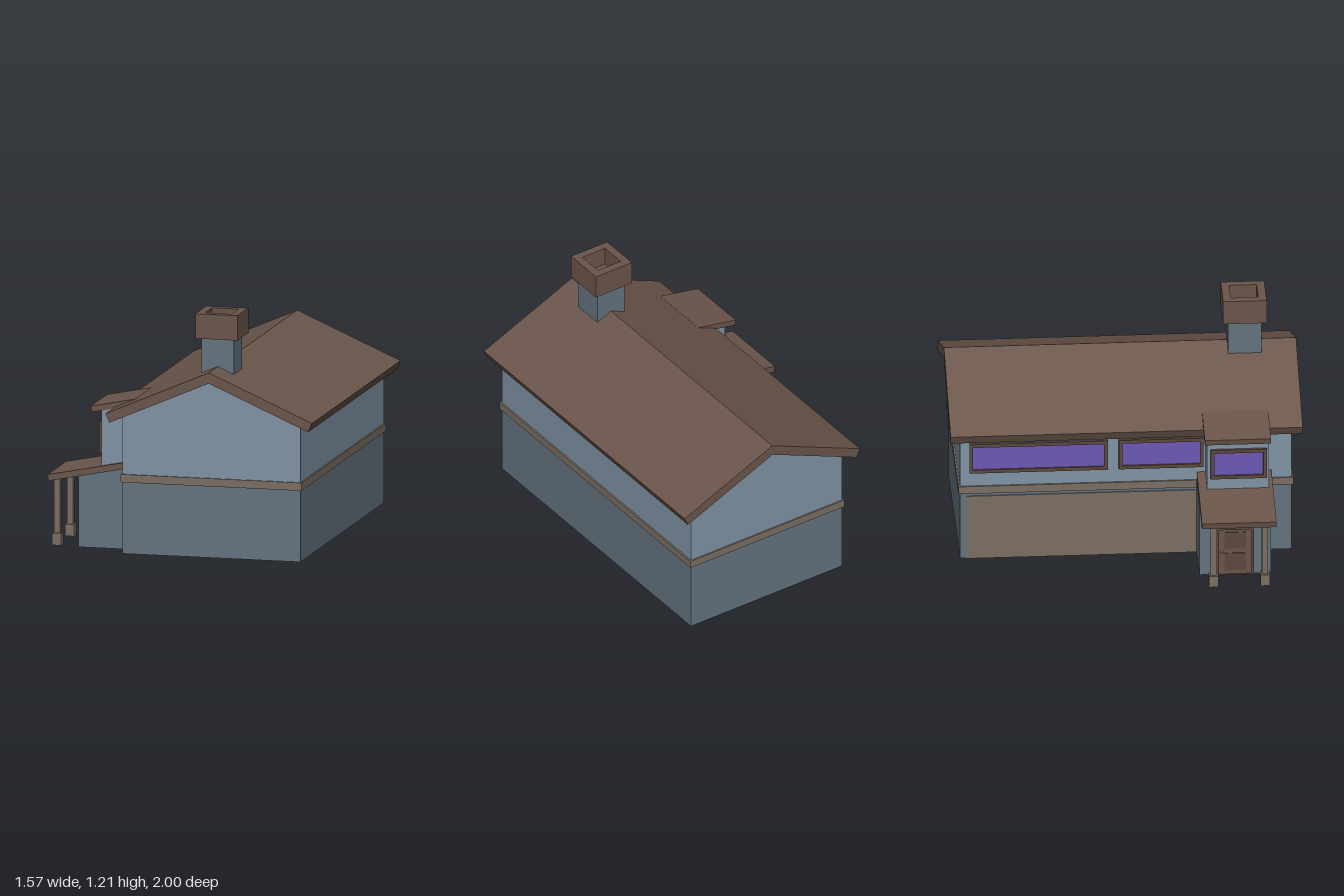
import * as THREE from 'three';

const mat = (color) => new THREE.MeshStandardMaterial({ color, flatShading: true });

export function createModel() {
  const wallUpper = mat(0x7f93a5), wallLower = mat(0x64737f), roofing = mat(0x6a554a);
  const trim = mat(0x7a6e62), frameMat = mat(0x5c483d), glass = mat(0x6c58b4), brass = mat(0xb08a3c);

  const model = new THREE.Group();
  model.name = 'house';
  const house = new THREE.Group();
  house.name = 'building';
  house.rotation.y = 0.333;
  model.add(house);

  const add = (name, geometry, material) => {
    const mesh = new THREE.Mesh(geometry, material);
    mesh.name = name;
    house.add(mesh);
    return mesh;
  };

  // Box given by its limits on each axis
  const box = (name, material, [x0, x1], [y0, y1], [z0, z1]) => {
    const mesh = add(name, new THREE.BoxGeometry(x1 - x0, y1 - y0, z1 - z0), material);
    mesh.position.set((x0 + x1) / 2, (y0 + y1) / 2, (z0 + z1) / 2);
    return mesh;
  };

  const toShape = (points) => new THREE.Shape(points.map(([x, y]) => new THREE.Vector2(x, y)));
  const rect = (u0, u1, v0, v1) => [[u0, v0], [u1, v0], [u1, v1], [u0, v1]];

  // Cross-section in x and y, run from z0 to z1
  const profile = (name, material, points, z0, z1) => {
    const geometry = new THREE.ExtrudeGeometry(toShape(points), { depth: z1 - z0, bevelEnabled: false });
    return add(name, geometry.translate(0, 0, z0), material);
  };

  // Sloping roof slab, with its ends cut square to the slope
  const slab = (name, [x0, y0], [x1, y1], thickness, z0, z1) => {
    const length = Math.hypot(x1 - x0, y1 - y0);
    const nx = (y1 - y0) / length * thickness, ny = -(x1 - x0) / length * thickness;
    return profile(name, roofing, [[x0, y0], [x1, y1], [x1 + nx, y1 + ny], [x0 + nx, y0 + ny]], z0, z1);
  };

  // Rectangular surround on a wall facing -x
  const surround = (name, x, z0, z1, y0, y1, width, depth, bottom = width) => {
    const shape = toShape(rect(z0, z1, y0, y1));
    shape.holes.push(toShape(rect(z0 + width, z1 - width, y0 + bottom, y1 - width)));
    const geometry = new THREE.ExtrudeGeometry(shape, { depth, bevelEnabled: false });
    geometry.rotateY(-Math.PI / 2).translate(x, 0, 0);
    return add(name, geometry, frameMat);
  };

  const W = 0.455, L = 0.822;

  // Main walls, gables and band
  box('lowerWalls', wallLower, [-W, W], [0, 0.38], [-L, L]);
  profile('upperWalls', wallUpper, [[-W, 0.38], [W, 0.38], [W, 0.688], [0, 0.886], [-W, 0.688]], -L, L);
  box('wallBand', trim, [-W - 0.008, W + 0.008], [0.36, 0.4], [-L - 0.008, L + 0.008]);

  // Main gable roof
  profile('mainRoof', roofing, [
    [-0.528, 0.71], [0, 0.94], [0.528, 0.71], [0.508, 0.665], [0, 0.886], [-0.508, 0.665],
  ], -0.873, 0.873);

  // Entrance extension and the bay above it
  profile('entranceWalls', wallLower, [[-0.71, 0], [-0.4, 0], [-0.4, 0.415], [-0.71, 0.362]], 0.35, 0.704);
  profile('bayWalls', wallUpper, [[-0.593, 0.37], [-0.4, 0.37], [-0.4, 0.725], [-0.593, 0.693]], 0.395, 0.702);
  slab('porchRoof', [-0.864, 0.36], [-0.45, 0.443], 0.032, 0.352, 0.722);
  slab('bayRoof', [-0.647, 0.712], [-0.42, 0.758], 0.03, 0.38, 0.708);

  // Porch posts
  for (const z of [0.412, 0.666]) {
    const x = -0.825;
    box('postBase', trim, [x - 0.0235, x + 0.0235], [0, 0.06], [z - 0.0235, z + 0.0235]);
    box('post', trim, [x - 0.015, x + 0.015], [0.06, 0.342], [z - 0.015, z + 0.015]);
  }

  // Windows on the left wall and the bay
  const windows = [[-W, -0.775, -0.09], [-W, -0.035, 0.385], [-0.593, 0.412, 0.69]];
  for (const [x, z0, z1] of windows) {
    surround('windowFrame', x, z0, z1, 0.475, 0.635, 0.018, 0.014);
    box('windowPane', glass, [x - 0.005, x + 0.01], [0.49, 0.62], [z0 + 0.015, z1 - 0.015]);
  }

  // Wide garage door
  box('garageDoor', trim, [-W - 0.006, -W + 0.01], [0, 0.345], [-0.79, 0.35]);

  // Front door with two raised panels and a knob
  surround('doorFrame', -0.71, 0.43, 0.62, 0, 0.266, 0.016, 0.012, 0.004);
  box('frontDoor', roofing, [-0.715, -0.7], [0.003, 0.252], [0.445, 0.605]);
  for (const [y0, y1] of [[0.025, 0.12], [0.145, 0.235]]) {
    box('doorPanel', frameMat, [-0.719, -0.712], [y0, y1], [0.472, 0.58]);
  }
  add('doorKnob', new THREE.SphereGeometry(0.008, 8, 6), brass).position.set(-0.723, 0.13, 0.459);

  // Chimney with a hollow cap
  const cz = 0.613;
  box('chimneyShaft', wallLower, [-0.0825, 0.0825], [0.86, 1.1], [cz - 0.0825, cz + 0.0825]);
  const capShape = toShape(rect(-0.108, 0.108, -0.108, 0.108));
  capShape.holes.push(toShape(rect(-0.068, 0.068, -0.068, 0.068)));
  const cap = new THREE.ExtrudeGeometry(capShape, { depth: 0.125, bevelEnabled: false });
  add('chimneyCap', cap.rotateX(-Math.PI / 2).translate(0, 1.08, cz), roofing);
  box('chimneyFlueFloor', roofing, [-0.07, 0.07], [1.09, 1.11], [cz - 0.07, cz + 0.07]);

  return model;
}
